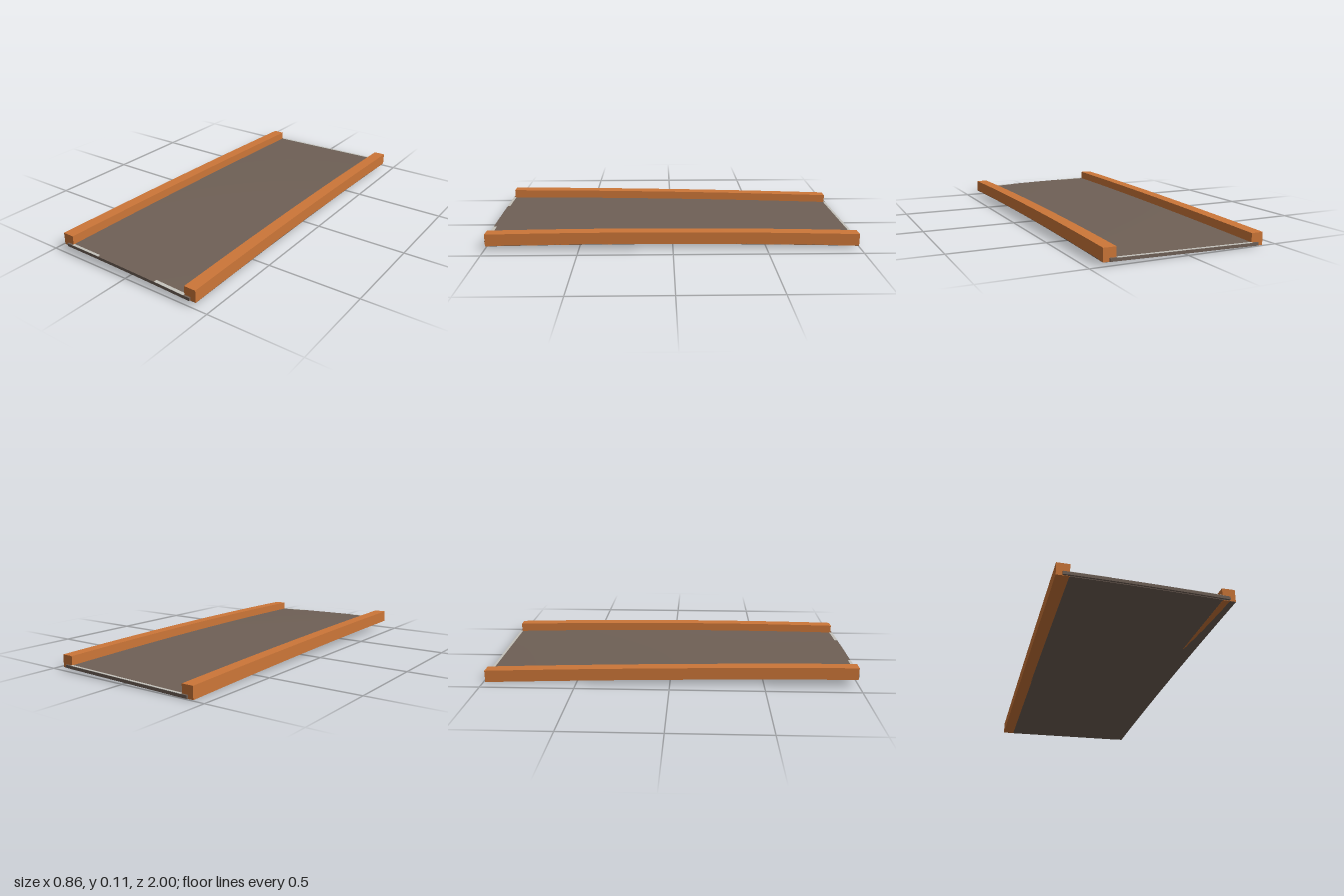
import * as THREE from 'three';

const HALF_WIDTH = 0.43;

// Height of the gently twisted and bowed underside at (x, z)
function baseHeight(x, z) {
  const bow = (back, mid, front) =>
    mid + ((front - back) / 2) * z + ((front + back) / 2 - mid) * z * z;
  const negSide = bow(0.001, 0.03, 0.045);
  const posSide = bow(0.018, 0.035, 0.028);
  const t = (x + HALF_WIDTH) / (2 * HALF_WIDTH);
  const crown = 0.004 * (1 + z) / 2 * (1 - (x / HALF_WIDTH) ** 2);
  return negSide + (posSide - negSide) * t + crown;
}

// Box bent to follow the twisted underside; low and high are offsets from it
function bentBox(name, material, x0, x1, low, high, z0, z1, level = false) {
  const zSegs = Math.max(1, Math.round((z1 - z0) * 10));
  const xSegs = level ? 1 : 8;
  const geometry = new THREE.BoxGeometry(x1 - x0, high - low, z1 - z0, xSegs, 1, zSegs);
  geometry.translate((x0 + x1) / 2, (low + high) / 2, (z0 + z1) / 2);
  const pos = geometry.attributes.position;
  for (let i = 0; i < pos.count; i++) {
    // Level parts keep a square cross-section
    const x = level ? Math.sign(x0) * HALF_WIDTH : pos.getX(i);
    pos.setY(i, pos.getY(i) + baseHeight(x, pos.getZ(i)));
  }
  geometry.computeVertexNormals();
  const mesh = new THREE.Mesh(geometry, material);
  mesh.name = name;
  return mesh;
}

export function createModel() {
  const group = new THREE.Group();
  group.name = 'bridgeDeck';

  const makeMaterial = (name, color) => {
    const material = new THREE.MeshStandardMaterial({ color });
    material.name = name;
    return material;
  };
  const orange = makeMaterial('orange', 0xcc7638);
  const greyBrown = makeMaterial('greyBrown', 0x6f6056);
  const paleGrey = makeMaterial('paleGrey', 0xc4c2bb);

  // Deck slab and the thin sheet beneath it
  group.add(bentBox('deck', greyBrown, -0.4, 0.4, 0.002, 0.018, -1, 1));
  group.add(bentBox('underside', greyBrown, -0.368, 0.43, -0.001, 0.002, -0.99, 0.99));

  // Side beams
  group.add(bentBox('rightBeam', orange, -0.43, -0.365, 0, 0.065, -0.99, 0.99, true));
  group.add(bentBox('leftBeam', orange, 0.365, 0.43, 0, 0.065, -0.99, 0.99, true));

  // Pale strips along the deck ends
  group.add(bentBox('backEdgeStrip', paleGrey, -0.365, 0.365, 0.0175, 0.0195, -1, -0.986));
  group.add(bentBox('frontEdgeStripRight', paleGrey, -0.365, -0.18, 0.0175, 0.0195, 0.985, 1));
  group.add(bentBox('frontEdgeStripLeft', paleGrey, 0.19, 0.365, 0.0175, 0.0195, 0.982, 1));

  return group;
}
